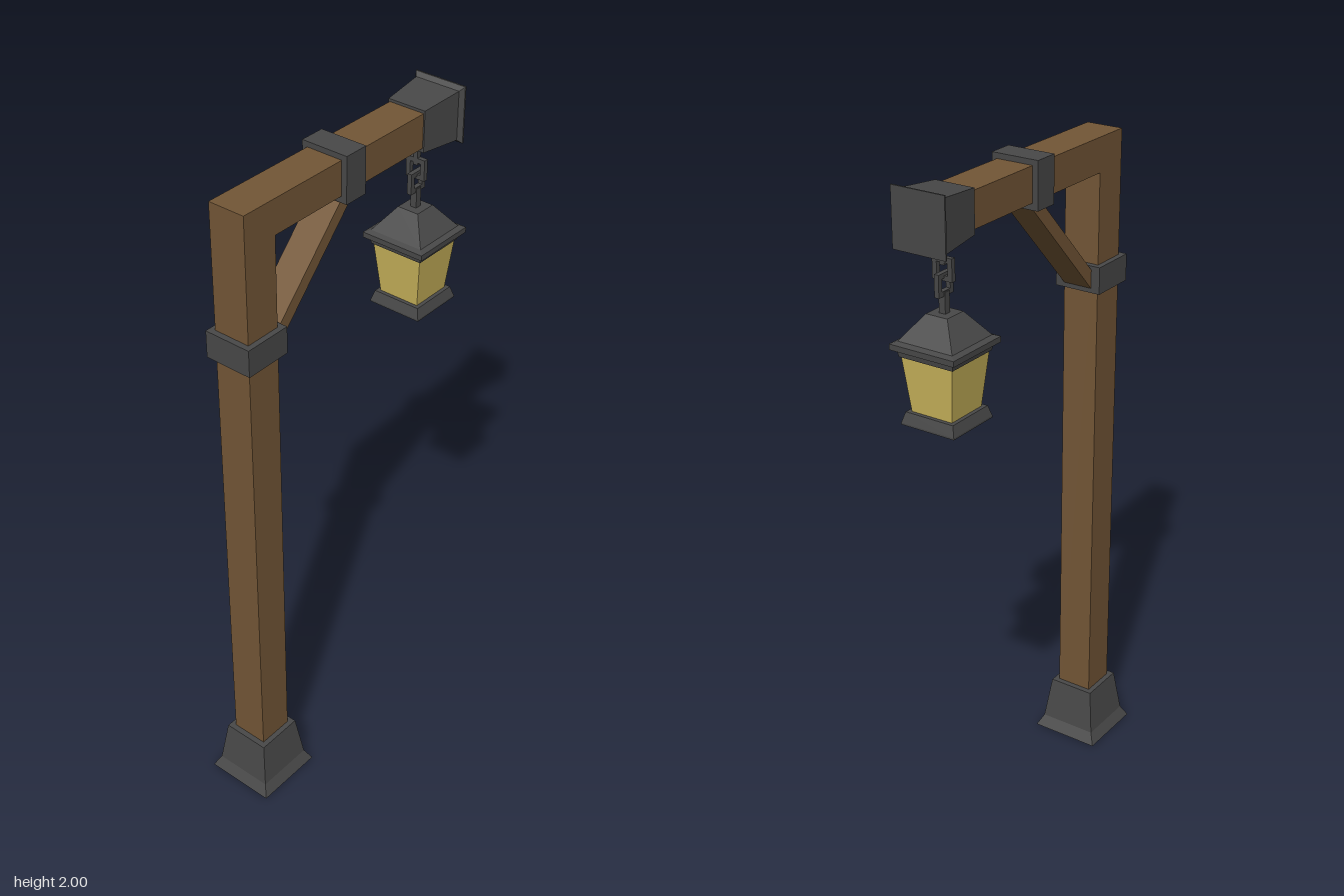
import * as THREE from 'three';

const wood = new THREE.MeshStandardMaterial({ name: 'wood', color: 0x735636, flatShading: true });
const iron = new THREE.MeshStandardMaterial({ name: 'darkIron', color: 0x484848, flatShading: true });
const glass = new THREE.MeshStandardMaterial({ name: 'yellowGlass', color: 0xcbb55c, flatShading: true });

const POST_Z = 0.345, LAMP_Z = -0.35, BEAM_Y = 1.918;

export function createModel() {
  const model = new THREE.Group();
  model.name = 'lanternPost';

  const add = (name, geometry, material, x = 0, y = 0, z = 0, parent = model) => {
    const mesh = new THREE.Mesh(geometry, material);
    mesh.name = name;
    mesh.position.set(x, y, z);
    parent.add(mesh);
    return mesh;
  };
  // Square stepped solid from [half width, height] pairs, bottom to top
  const squareStack = (steps) => {
    const pts = steps.map(([h, y]) => new THREE.Vector2(h * Math.SQRT2, y));
    pts.unshift(new THREE.Vector2(0, steps[0][1]));
    pts.push(new THREE.Vector2(0, steps[steps.length - 1][1]));
    return new THREE.LatheGeometry(pts, 4, Math.PI / 4).toNonIndexed();
  };
  // Side profile of [z, y] points, extruded evenly across x
  const sideProfile = (points, width, hole) => {
    const toVectors = (list) => list.map(([z, y]) => new THREE.Vector2(z, y));
    const shape = new THREE.Shape(toVectors(points));
    if (hole) shape.holes.push(new THREE.Path(toVectors(hole)));
    return new THREE.ExtrudeGeometry(shape, { depth: width, bevelEnabled: false })
      .translate(0, 0, -width / 2).rotateY(-Math.PI / 2);
  };
  const rect = (w, h) => [[-w, -h], [w, -h], [w, h], [-w, h]];

  // Timber post, arm and diagonal brace
  add('postAndArm', sideProfile([
    [0.4, 0.05], [0.4, 1.97], [-0.42, 1.97], [-0.42, 1.87], [0.29, 1.87], [0.29, 0.05],
  ], 0.112), wood);
  add('brace', sideProfile([
    [0.295, 1.515], [0.295, 1.57], [0.017, 1.86], [-0.034, 1.86],
  ], 0.09), wood);

  // Iron foot, collars and arm end cap
  add('foot', squareStack([[0.108, 0], [0.09, 0.035], [0.072, 0.17]]), iron, 0, 0, POST_Z);
  add('postCollar', new THREE.BoxGeometry(0.145, 0.08, 0.145), iron, 0, 1.565, POST_Z);
  add('armCollar', new THREE.BoxGeometry(0.145, 0.135, 0.076), iron, 0, BEAM_Y, 0);
  const cap = add('armEndCap', squareStack([[0.06, 0], [0.071, 0.133], [0.082, 0.145], [0.082, 0.15]]),
    iron, 0, BEAM_Y, -0.297);
  cap.rotation.x = -Math.PI / 2;

  // Hanging chain: rod, two crossed links, lower rod
  const lantern = new THREE.Group();
  lantern.name = 'lantern';
  lantern.position.z = LAMP_Z;
  model.add(lantern);
  const part = (name, geometry, material, y = 0) => add(name, geometry, material, 0, y, 0, lantern);
  part('hangingRod', new THREE.BoxGeometry(0.014, 0.09, 0.014), iron, 1.83);
  const link = () => sideProfile(rect(0.031, 0.031), 0.014, rect(0.017, 0.017));
  part('upperLink', link(), iron, 1.775).rotation.y = Math.PI / 2;
  part('lowerLink', link(), iron, 1.735);
  part('lowerRod', new THREE.BoxGeometry(0.02, 0.07, 0.02), iron, 1.68);

  // Lantern roof, glass body and base
  part('lanternRoof', squareStack([
    [0.085, 1.545], [0.088, 1.562], [0.102, 1.566], [0.102, 1.582], [0.086, 1.588], [0.034, 1.657],
  ]), iron);
  part('lanternGlass', squareStack([[0.064, 1.385], [0.081, 1.55]]), glass);
  part('lanternBase', squareStack([[0.085, 1.355], [0.085, 1.36], [0.076, 1.39]]), iron);

  return model;
}
